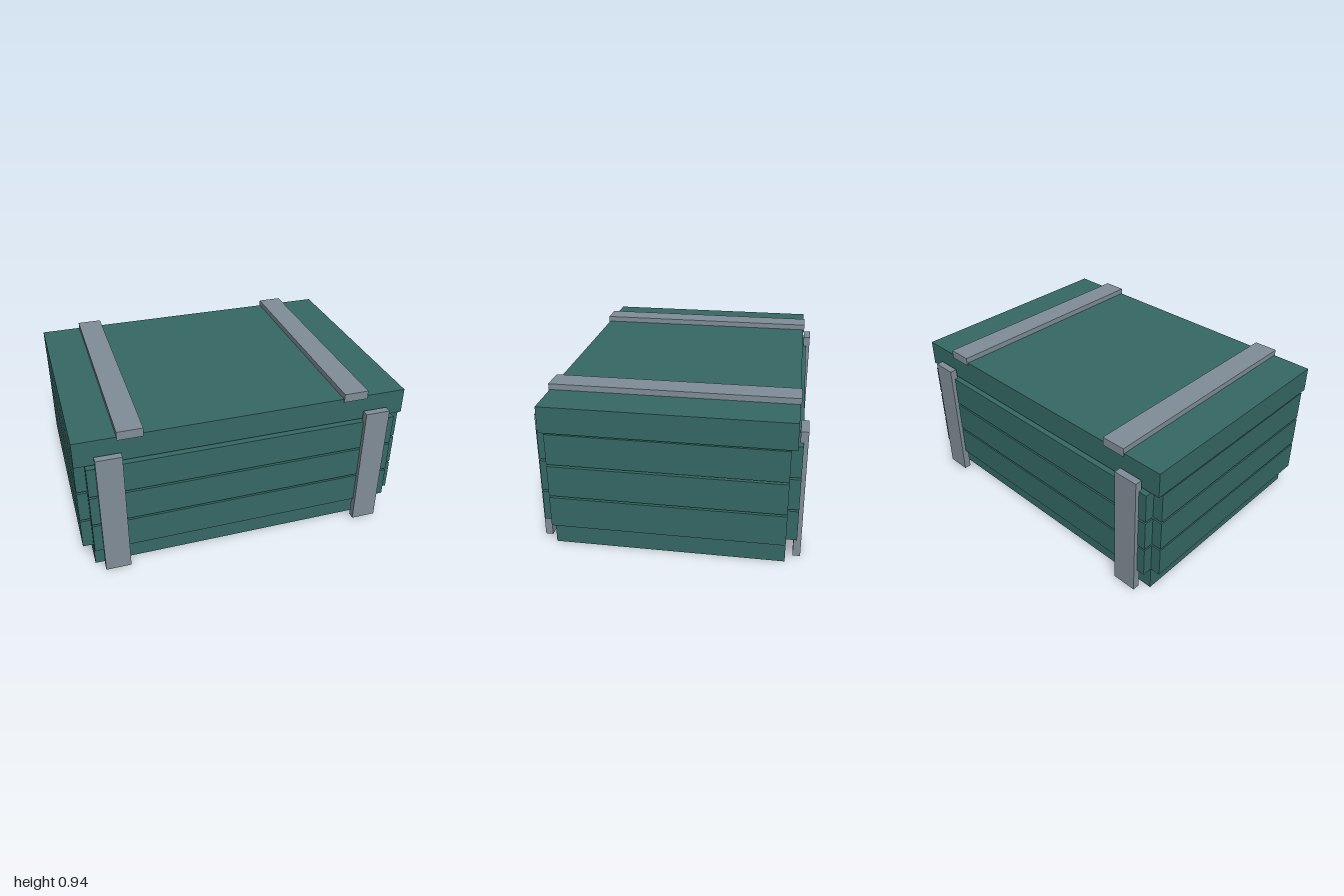
import * as THREE from 'three';

export function createModel() {
  const crate = new THREE.Group();
  crate.name = 'crate';

  const paint = new THREE.MeshStandardMaterial({ color: 0x356864 });
  paint.name = 'teal paint';
  const metal = new THREE.MeshStandardMaterial({ color: 0x808d97 });
  metal.name = 'grey batten';

  // Box given by its extents along each axis
  function box(name, material, [x0, x1], [y0, y1], [z0, z1]) {
    const mesh = new THREE.Mesh(new THREE.BoxGeometry(x1 - x0, y1 - y0, z1 - z0), material);
    mesh.position.set((x0 + x1) / 2, (y0 + y1) / 2, (z0 + z1) / 2);
    mesh.name = name;
    crate.add(mesh);
  }
  // Extent from a to b, mirrored when side is -1
  const span = (side, a, b) => (side > 0 ? [a, b] : [-b, -a]);

  // Solid base and overhanging lid
  box('base', paint, [-0.938, 0.938], [0, 0.16], [-0.68, 0.68]);
  box('lid', paint, [-1, 1], [0.75, 0.908], [-0.713, 0.713]);

  for (const side of [1, -1]) {
    // Three spaced planks on each wall, leaving notched corners
    for (const y of [[0.152, 0.34], [0.352, 0.542], [0.555, 0.743]]) {
      box(side > 0 ? 'frontPlank' : 'backPlank', paint, [-0.938, 0.938], y, span(side, 0.68, 0.742));
      box(side > 0 ? 'leftPlank' : 'rightPlank', paint, span(side, 0.938, 1), y, [-0.68, 0.68]);
    }
    // Battens running across the lid
    box('lidBatten', metal, span(side, 0.602, 0.752), [0.89, 0.943], [-0.72, 0.72]);
    // Upright battens on the front and back
    for (const face of [1, -1]) {
      box('uprightBatten', metal, span(side, 0.734, 0.886), [0.01, 0.808], span(face, 0.723, 0.767));
    }
  }
  return crate;
}
